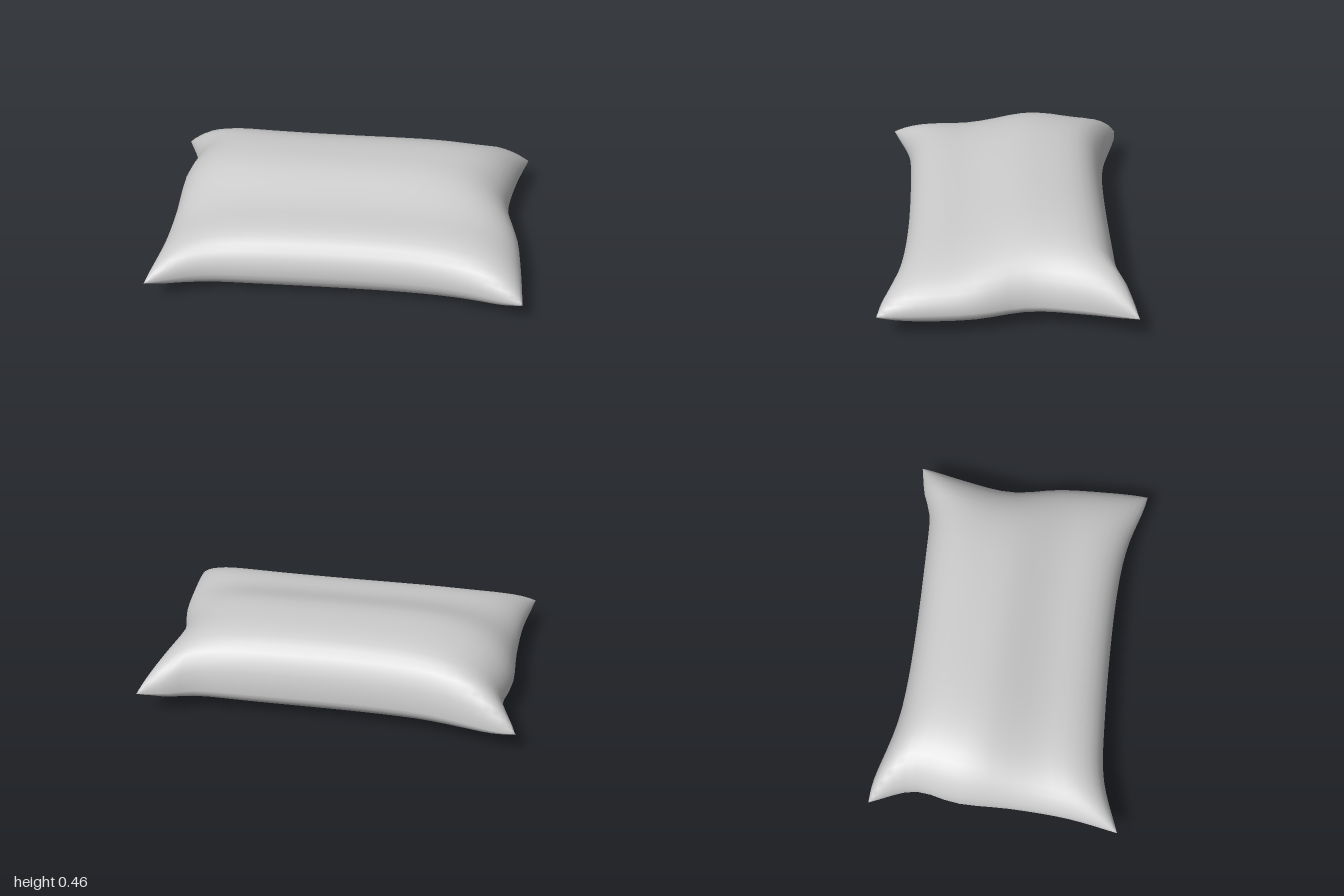
import * as THREE from 'three';
import { mergeGeometries, mergeVertices } from 'three/addons/utils/BufferGeometryUtils.js';

const SEAM_Y = 0.15;

// Seam outline: four edges as [x, z] points, pinched out at the corners
const edge = (pts) => new THREE.CatmullRomCurve3(pts.map(([x, z]) => new THREE.Vector3(x, 0, z)));
const front = edge([[-1, 0.67], [-0.72, 0.57], [-0.4, 0.54], [0.35, 0.53], [0.65, 0.56], [0.9, 0.63], [0.98, 0.645]]);
const back = edge([[-1, -0.67], [-0.91, -0.665], [-0.5, -0.57], [0.45, -0.57], [0.72, -0.59], [0.84, -0.635], [1, -0.67]]);
const left = edge([[-1, -0.67], [-0.91, -0.43], [-0.945, -0.2], [-0.94, 0.1], [-0.955, 0.4], [-1, 0.67]]);
const right = edge([[1, -0.67], [0.93, -0.42], [0.89, -0.13], [0.95, 0.15], [0.97, 0.4], [0.98, 0.645]]);

// Blend the four edges into a surface point (s across, t from back to front)
function patch(s, t) {
  const p = new THREE.Vector3();
  const add = (v, w) => p.addScaledVector(v, w);
  add(back.getPointAt(s), 1 - t);
  add(front.getPointAt(s), t);
  add(left.getPointAt(t), 1 - s);
  add(right.getPointAt(t), s);
  add(back.getPointAt(0), -(1 - s) * (1 - t));
  add(back.getPointAt(1), -s * (1 - t));
  add(front.getPointAt(0), -(1 - s) * t);
  add(front.getPointAt(1), -s * t);
  return p;
}

// Puffed cross-section: flat in the middle, steep at the seam
const puff = (u, power) => Math.sqrt(Math.max(0, 1 - Math.abs(u) ** power));

// Upper side is fuller towards the back, lower side towards the front
const topHeight = (u, v) =>
  (0.312 - 0.09 * THREE.MathUtils.smoothstep(v, -0.2, 0.5) - 0.015 * u * u) * puff(u, 5) * puff(v, 5);
const bottomDepth = (u, v) =>
  (Math.min(0.152, 0.143 + 0.03 * v) - 0.025 * u * u) * puff(u, 6) * puff(v, 6);

function sheet(isTop) {
  const g = new THREE.PlaneGeometry(2, 2, 32, 24).rotateX(isTop ? -Math.PI / 2 : Math.PI / 2);
  g.deleteAttribute('uv');
  g.deleteAttribute('normal');
  const pos = g.attributes.position;
  const clamp = (a) => THREE.MathUtils.clamp(a, -1, 1);
  for (let i = 0; i < pos.count; i++) {
    // rows gather towards the seam, where the curvature is
    const u = Math.sin(clamp(pos.getX(i)) * Math.PI / 2);
    const v = Math.sin(clamp(pos.getZ(i)) * Math.PI / 2);
    const p = patch((u + 1) / 2, (v + 1) / 2);
    const y = SEAM_Y + (isTop ? topHeight(u, v) : -bottomDepth(u, v));
    pos.setXYZ(i, p.x, y, p.z);
  }
  return g;
}

export function createModel() {
  const group = new THREE.Group();
  group.name = 'pillow';

  // Both sides welded along the seam for smooth shading
  const geometry = mergeVertices(mergeGeometries([sheet(true), sheet(false)]), 1e-4);
  geometry.computeVertexNormals();
  const cushion = new THREE.Mesh(geometry, new THREE.MeshStandardMaterial({ color: 0xcccccc }));
  cushion.name = 'cushion';
  group.add(cushion);
  return group;
}
